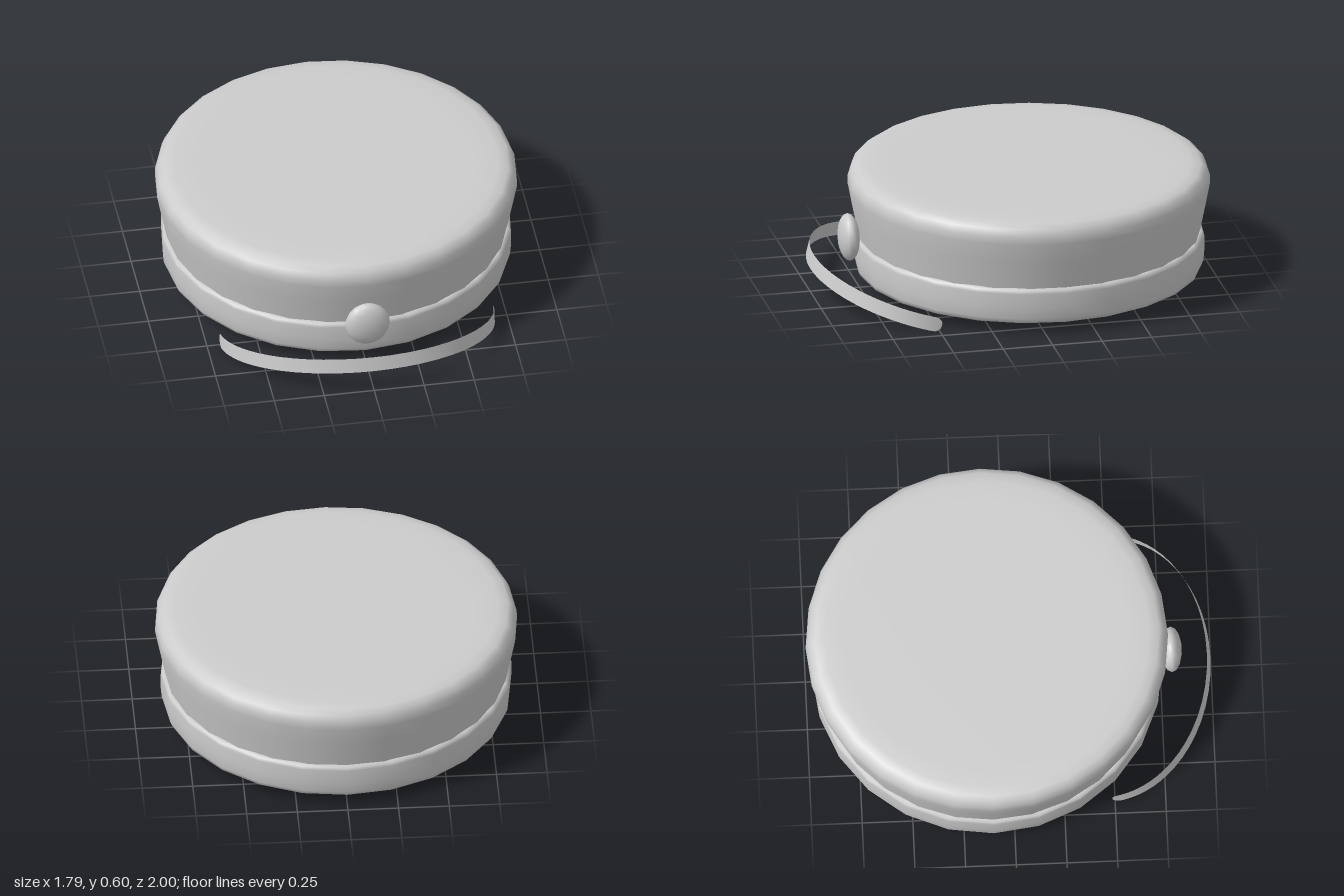
import * as THREE from 'three';

const CENTER_Z = -0.105;

export function createModel() {
  const group = new THREE.Group();
  const grey = new THREE.MeshStandardMaterial({ color: 0xcccccc });
  grey.name = 'light grey';
  const greyThin = grey;
  greyThin.side = THREE.DoubleSide;

  const add = (name, geometry, x = 0, y = 0, z = 0) => {
    const mesh = new THREE.Mesh(geometry, grey);
    mesh.name = name;
    mesh.position.set(x, y, z);
    group.add(mesh);
    return mesh;
  };
  const lathe = (points, sides) =>
    new THREE.LatheGeometry(points.map(([r, y]) => new THREE.Vector2(r, y)), sides);

  // Head band with a closed underside
  add('headBand', lathe([
    [0, 0.05], [0.79, 0.05], [0.83, 0.052], [0.852, 0.062], [0.861, 0.085],
    [0.866, 0.14], [0.866, 0.215], [0.861, 0.232], [0.845, 0.24], [0.80, 0.24],
  ], 24), 0, 0, CENTER_Z);

  // Flared crown with a rounded rim and a barely domed top
  add('crown', lathe([
    [0.842, 0.22], [0.852, 0.27], [0.876, 0.39], [0.894, 0.485], [0.892, 0.525],
    [0.878, 0.56], [0.85, 0.581], [0.80, 0.590], [0.70, 0.593], [0.35, 0.595], [0, 0.596],
  ], 28), 0, 0, CENTER_Z);

  // Oval badge on the front
  const badge = add('badge', new THREE.SphereGeometry(1, 14, 10), 0, 0.27, 0.805);
  badge.scale.set(0.112, 0.118, 0.052);

  // Thin curved visor strip, tilted upward, with rounded ends
  add('visorStrip', visorGeometry());

  return group;
}

// Sweeps a narrow strip along a half ellipse lying in a tilted plane
function visorGeometry() {
  const steps = 48, halfWidth = 0.037, depth = 0.518, tip = 0.04;
  const forward = new THREE.Vector3(0, 0.243, 0.97);
  const up = new THREE.Vector3(0, 0.97, -0.243);
  const positions = [], index = [];
  for (let i = 0; i <= steps; i++) {
    const t = i / steps;
    const a = Math.PI * (t - 0.9 * Math.sin(2 * Math.PI * t) / (2 * Math.PI));
    const s = depth * Math.sin(a);
    const u = Math.min(1, s / tip);
    const h = halfWidth * Math.sqrt(Math.max(0, 1 - (1 - u) ** 2));
    const p = new THREE.Vector3(-0.685 * Math.cos(a), 0.028, 0.487).addScaledVector(forward, s);
    for (const side of [-1, 1]) {
      const v = p.clone().addScaledVector(up, side * h);
      positions.push(v.x, v.y, v.z);
    }
    if (i < steps) {
      const k = i * 2;
      index.push(k, k + 2, k + 1, k + 1, k + 2, k + 3);
    }
  }
  const geometry = new THREE.BufferGeometry();
  geometry.setAttribute('position', new THREE.Float32BufferAttribute(positions, 3));
  geometry.setIndex(index);
  geometry.computeVertexNormals();
  return geometry;
}
